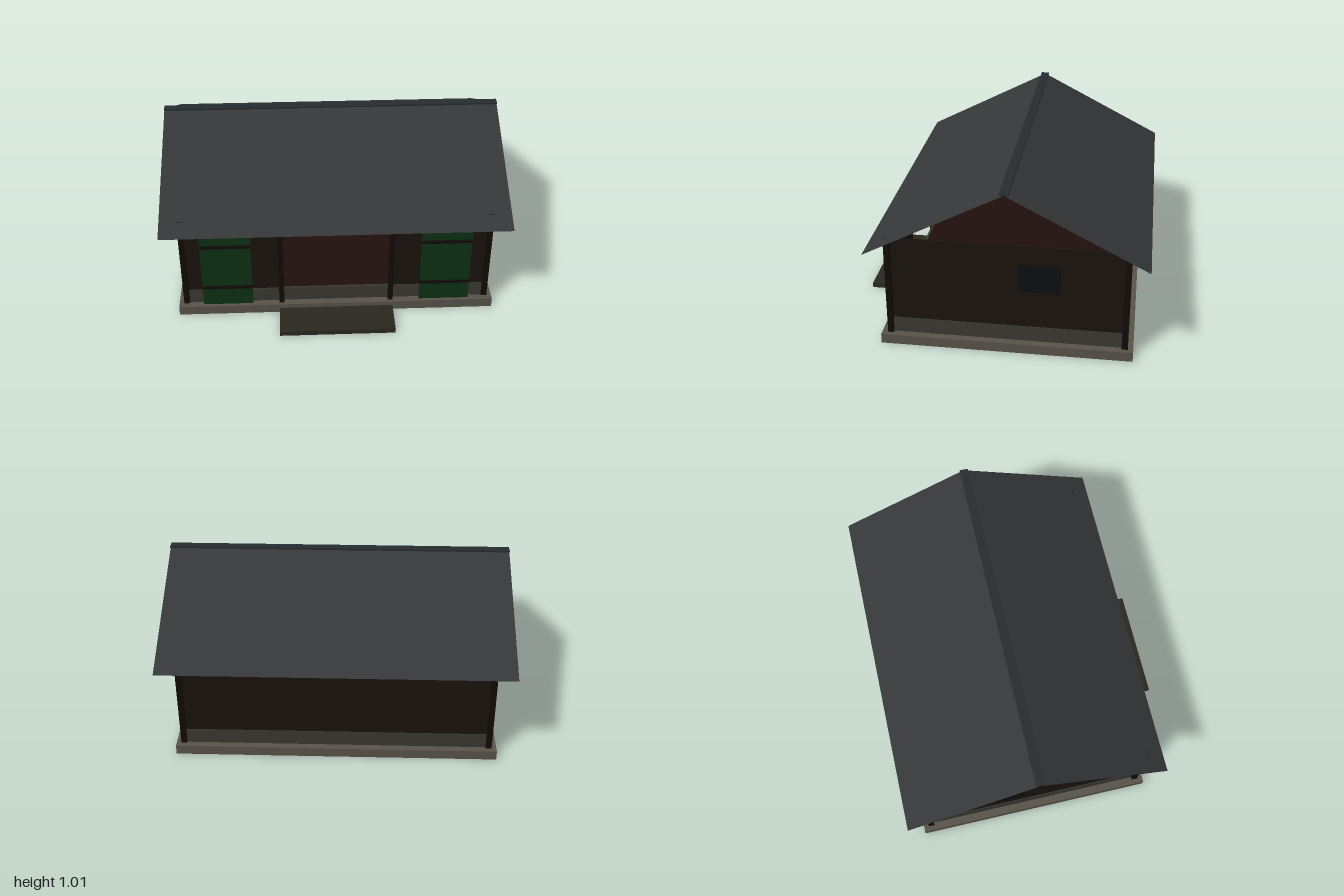
import * as THREE from 'three';

const mat = (color, side = THREE.FrontSide) => new THREE.MeshStandardMaterial({ color, side, flatShading: true });

export function createModel() {
  const house = new THREE.Group();
  house.name = 'house';

  const wood = mat(0x1a130d), darkWood = mat(0x120b07), floorWood = mat(0x200f0c);
  const stone = mat(0x58534a), plinth = mat(0x3a3831), stepStone = mat(0x2b2821);
  const green = mat(0x0c3014), glass = mat(0x0b1013), ridgeMat = mat(0x262c30);
  const roofMat = mat(0x363738, THREE.DoubleSide);

  // Box given by its minimum and maximum on each axis
  const box = (name, x0, x1, y0, y1, z0, z1, material) => {
    const mesh = new THREE.Mesh(new THREE.BoxGeometry(x1 - x0, y1 - y0, z1 - z0), material);
    mesh.position.set((x0 + x1) / 2, (y0 + y1) / 2, (z0 + z1) / 2);
    mesh.name = name;
    house.add(mesh);
  };
  // The same box on both sides of x = 0
  const pair = (name, x0, x1, ...rest) => {
    box(name + 'Left', x0, x1, ...rest);
    box(name + 'Right', -x1, -x0, ...rest);
  };

  // Foundation: a top slab with a thin rim, hollow underneath
  box('foundationSlab', -0.93, 0.93, 0.05, 0.057, -0.78, 0.64, stone);
  pair('foundationSide', 0.922, 0.93, 0, 0.05, -0.78, 0.64, stone);
  box('foundationFront', -0.922, 0.922, 0, 0.05, 0.632, 0.64, stone);
  box('foundationBack', -0.922, 0.922, 0, 0.05, -0.78, -0.772, stone);
  box('entranceStep', -0.335, 0.335, 0, 0.03, 0.64, 0.85, stepStone);

  // Solid plinth carrying the wooden floor
  box('plinth', -0.885, 0.885, 0.057, 0.148, -0.74, 0.597, plinth);
  box('floor', -0.872, 0.872, 0.146, 0.15, -0.727, 0.584, floorWood);

  // Thin walls, open at the front between the middle posts
  pair('sideWall', 0.872, 0.88, 0.148, 0.65, -0.735, 0.592, wood);
  box('backWall', -0.872, 0.872, 0.148, 0.65, -0.735, -0.727, wood);
  pair('frontWall', 0.315, 0.872, 0.148, 0.65, 0.584, 0.592, wood);

  // Corner and middle posts
  pair('frontCornerPost', 0.868, 0.902, 0.057, 0.65, 0.573, 0.606, darkWood);
  pair('backCornerPost', 0.868, 0.902, 0.057, 0.65, -0.75, -0.715, darkWood);
  pair('middlePost', 0.308, 0.337, 0.057, 0.62, 0.588, 0.622, darkWood);

  // Green doors with two cross bars each
  pair('door', 0.492, 0.783, 0.068, 0.6, 0.62, 0.632, green);
  for (const y of [0.195, 0.487]) pair('doorBar', 0.49, 0.785, y - 0.01, y + 0.01, 0.63, 0.638, darkWood);

  // Side windows
  pair('windowFrame', 0.88, 0.907, 0.383, 0.542, -0.367, -0.138, darkWood);
  pair('windowPane', 0.9, 0.912, 0.387, 0.538, -0.363, -0.142, glass);

  // Two thin roof slopes, open at the gables
  const ridgeZ = -0.075, run = 0.775, rise = 0.4;
  for (const [name, s] of [['frontRoofSlope', 1], ['backRoofSlope', -1]]) {
    const slope = new THREE.Mesh(new THREE.PlaneGeometry(2, Math.hypot(run, rise)), roofMat);
    slope.rotation.x = -Math.PI / 2 + s * Math.atan2(rise, run);
    slope.position.set(0, 1 - rise / 2, ridgeZ + s * run / 2);
    slope.name = name;
    house.add(slope);
  }
  box('ridgeCap', -1, 1, 0.998, 1.008, ridgeZ - 0.025, ridgeZ + 0.025, ridgeMat);

  return house;
}
